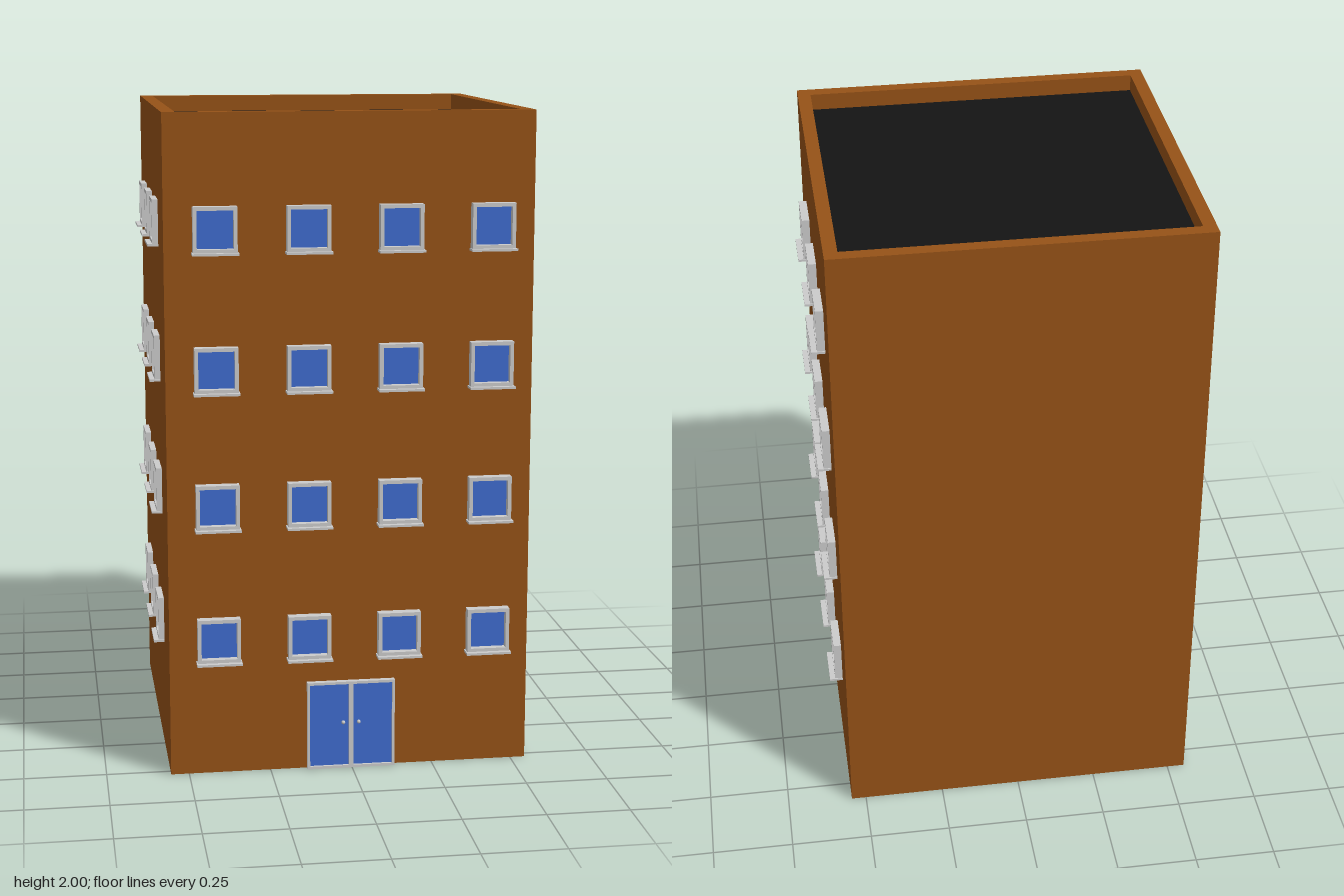
import * as THREE from 'three';

const brick = new THREE.MeshStandardMaterial({ color: 0x965217 });
const tar = new THREE.MeshStandardMaterial({ color: 0x141414 });
const glass = new THREE.MeshStandardMaterial({ color: 0x3f6bcf });
const grey = new THREE.MeshStandardMaterial({ color: 0xcccccc });

// Outer walls of the block
const X0 = -0.555, X1 = 0.546, Z0 = -0.572, Z1 = 0.527;
const HEIGHT = 2, ROOF_Y = 1.945, PARAPET = 0.04;

function add(parent, name, geometry, material, x = 0, y = 0, z = 0) {
  const mesh = new THREE.Mesh(geometry, material);
  mesh.name = name;
  mesh.position.set(x, y, z);
  parent.add(mesh);
  return mesh;
}

const box = (w, h, d) => new THREE.BoxGeometry(w, h, d);

// Rectangular ring, centred in x and y, extruded from z = 0 to z = depth
function ring(w, h, border, depth) {
  const rect = (target, a, b) => target.moveTo(-a, -b).lineTo(a, -b).lineTo(a, b).lineTo(-a, b).closePath();
  const shape = rect(new THREE.Shape(), w / 2, h / 2);
  shape.holes.push(rect(new THREE.Path(), w / 2 - border, h / 2 - border));
  return new THREE.ExtrudeGeometry(shape, { depth, bevelEnabled: false });
}

// Window facing +z: origin at the wall, at the bottom of the sill
function makeWindow(depth, sillDepth) {
  const group = new THREE.Group();
  group.name = 'window';
  add(group, 'windowFrame', ring(0.13, 0.135, 0.011, depth), grey, 0, 0.0735, 0);
  add(group, 'windowPane', box(0.11, 0.115, 0.008), glass, 0, 0.0735, 0.004);
  add(group, 'windowSill', box(0.137, 0.007, sillDepth), grey, 0, 0.0035, sillDepth / 2);
  return group;
}

// Double door facing +z, standing on the ground
function makeDoor() {
  const group = new THREE.Group();
  group.name = 'door';
  add(group, 'doorFrame', ring(0.27, 0.276, 0.008, 0.018), grey, 0, 0.138, 0);
  add(group, 'doorPost', box(0.014, 0.26, 0.018), grey, 0, 0.138, 0.009);
  for (const side of [-1, 1]) {
    add(group, 'doorLeaf', box(0.12, 0.26, 0.01), glass, side * 0.067, 0.138, 0.005);
    add(group, 'doorKnob', new THREE.SphereGeometry(0.006, 12, 8), grey, side * 0.024, 0.145, 0.014);
  }
  return group;
}

export function createModel() {
  const model = new THREE.Group();
  model.name = 'apartmentBlock';
  const w = X1 - X0, d = Z1 - Z0, cx = (X0 + X1) / 2, cz = (Z0 + Z1) / 2;

  // Walls, parapet and sunken flat roof
  add(model, 'walls', box(w, ROOF_Y, d), brick, cx, ROOF_Y / 2, cz);
  const parapet = add(model, 'parapet', ring(w, d, PARAPET, HEIGHT - ROOF_Y), brick, cx, ROOF_Y, cz);
  parapet.rotation.x = -Math.PI / 2;
  add(model, 'roof', box(w - 2 * PARAPET, 0.004, d - 2 * PARAPET), tar, cx, ROOF_Y + 0.002, cz);

  // Four storeys of windows on the front and both sides
  for (let floor = 0; floor < 4; floor++) {
    const y = 0.35 + floor * 0.413;
    for (let i = 0; i < 4; i++) {
      const win = makeWindow(0.03, 0.045);
      win.position.set(-0.406 + i * 0.275, y, Z1);
      model.add(win);
    }
    for (let i = 0; i < 3; i++) {
      const z = -0.321 + i * 0.276;
      const left = makeWindow(0.024, 0.041);
      left.position.set(X1, y, z);
      left.rotation.y = Math.PI / 2;
      const right = makeWindow(0.018, 0.033);
      right.position.set(X0, y, z);
      right.rotation.y = -Math.PI / 2;
      model.add(left, right);
    }
  }

  // Entrance
  const door = makeDoor();
  door.position.set(-0.003, 0, Z1);
  model.add(door);
  return model;
}
